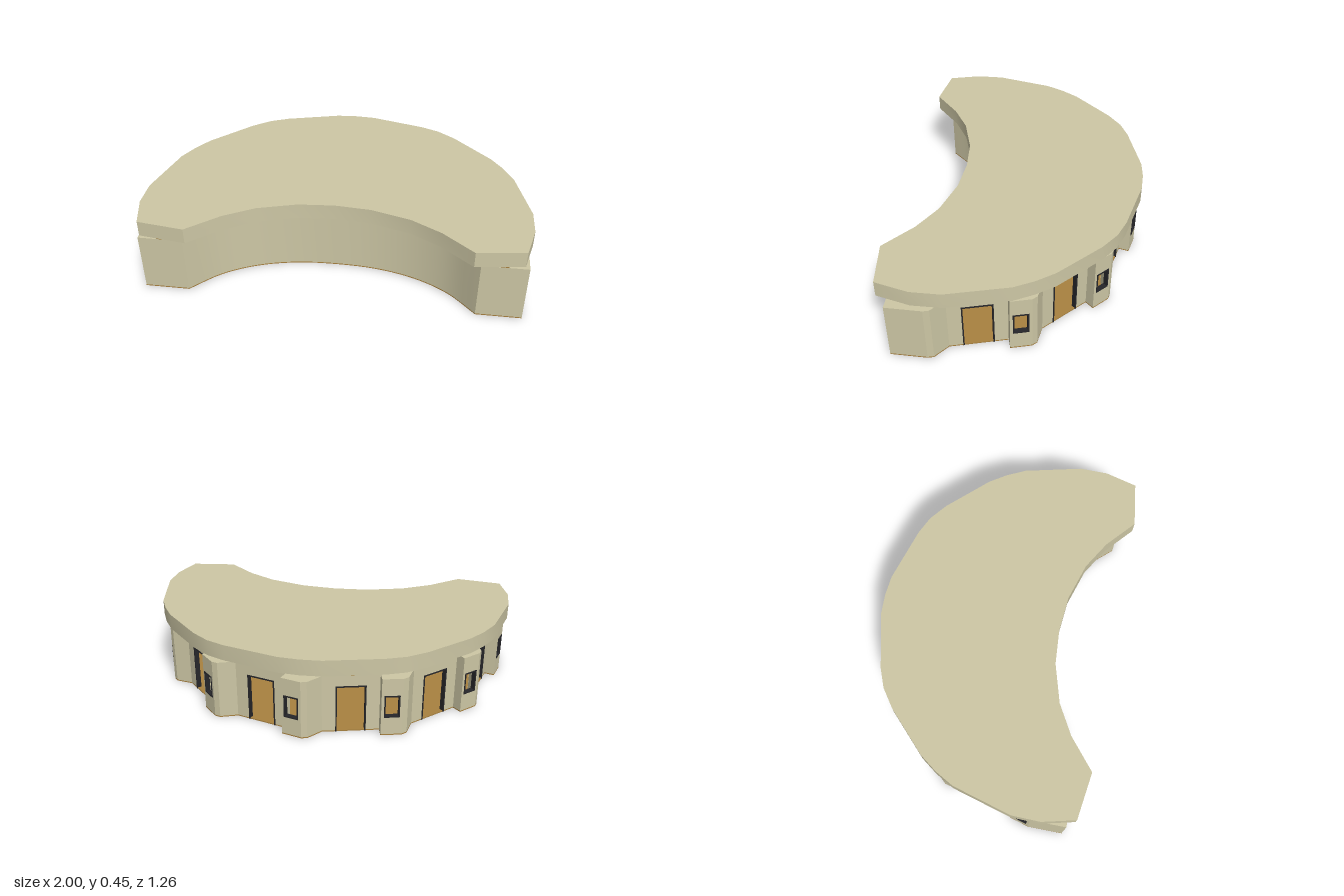
import * as THREE from 'three';
import { toCreasedNormals } from 'three/addons/utils/BufferGeometryUtils.js';

const BEIGE = new THREE.MeshStandardMaterial({ color: 0xcdc7a5 });
const WOOD = new THREE.MeshStandardMaterial({ color: 0xa8813f });
const DARK = new THREE.MeshStandardMaterial({ color: 0x26262a });

const CZ = 0.37;            // z of the arc centre
const WALL = 0.9, BAY = 0.955; // distance of door walls and bay faces from the centre
const FLOOR = 0.006, TOP = 0.31, THICK = 0.02;

// plan point on the bay facing angle deg: a outwards, t along the wall
function plan(deg, a, t) {
  const r = THREE.MathUtils.degToRad(deg), c = Math.cos(r), s = Math.sin(r);
  return [a * c - t * s, CZ - a * s - t * c];
}

const mirrorX = pts => pts.map(([x, z]) => [-x, z]).reverse();

// horizontal slab from a plan outline
function slab(name, pts, y0, y1, mat, crease = 0.4) {
  const shape = new THREE.Shape(pts.map(([x, z]) => new THREE.Vector2(x, -z)));
  let geo = new THREE.ExtrudeGeometry(shape, { depth: y1 - y0, bevelEnabled: false });
  geo.rotateX(-Math.PI / 2);
  geo.translate(0, y0, 0);
  geo = toCreasedNormals(geo, crease);
  const mesh = new THREE.Mesh(geo, mat);
  mesh.name = name;
  return mesh;
}

function box(name, w, h, d, x, y, z, mat) {
  const mesh = new THREE.Mesh(new THREE.BoxGeometry(w, h, d), mat);
  mesh.position.set(x, y, z);
  mesh.name = name;
  return mesh;
}

// upright wall panel from p to q; opening = { w, y0, y1 }, centred
function panel(name, p, q, opening) {
  const group = new THREE.Group();
  group.name = name;
  const dx = q[0] - p[0], dz = q[1] - p[1], len = Math.hypot(dx, dz);
  group.position.set(p[0], 0, p[1]);
  group.rotation.y = Math.atan2(-dz, dx);
  const shape = new THREE.Shape();
  shape.moveTo(0, FLOOR);
  if (opening) {
    const { w, y0, y1 } = opening, a = (len - w) / 2, b = (len + w) / 2;
    if (y0 <= FLOOR) {
      shape.lineTo(a, FLOOR); shape.lineTo(a, y1);
      shape.lineTo(b, y1); shape.lineTo(b, FLOOR);
    } else {
      const hole = new THREE.Path();
      hole.moveTo(a, y0); hole.lineTo(a, y1); hole.lineTo(b, y1); hole.lineTo(b, y0);
      hole.closePath();
      shape.holes.push(hole);
    }
    // dark frame lining the opening
    const f = 0.007, d = THICK + 0.006, h = y1 - y0, m = (y0 + y1) / 2;
    for (const x of [a + f / 2, b - f / 2]) group.add(box('frameJamb', f, h, d, x, m, -THICK / 2, DARK));
    group.add(box('frameHead', w, f, d, len / 2, y1 - f / 2, -THICK / 2, DARK));
    if (y0 > FLOOR) group.add(box('frameSill', w, f, d, len / 2, y0 + f / 2, -THICK / 2, DARK));
  }
  shape.lineTo(len, FLOOR); shape.lineTo(len, TOP); shape.lineTo(0, TOP);
  const geo = new THREE.ExtrudeGeometry(shape, { depth: THICK, bevelEnabled: false });
  geo.translate(0, 0, -THICK);
  const mesh = new THREE.Mesh(geo, BEIGE);
  mesh.name = name + 'Panel';
  group.add(mesh);
  return group;
}

// shell chair on thin legs
function chair() {
  const g = new THREE.Group();
  g.name = 'chair';
  const shell = new THREE.CylinderGeometry(0.042, 0.03, 0.075, 20, 1, true, 0, Math.PI * 1.35);
  const back = new THREE.Mesh(shell, new THREE.MeshStandardMaterial({ color: 0xcdc7a5, side: THREE.DoubleSide }));
  back.position.y = 0.08;
  back.name = 'chairShell';
  const seat = new THREE.Mesh(new THREE.CylinderGeometry(0.034, 0.03, 0.012, 20), BEIGE);
  seat.position.y = 0.05;
  seat.name = 'chairSeat';
  g.add(back, seat);
  for (const x of [-1, 1]) for (const z of [-1, 1])
    g.add(box('chairLeg', 0.005, 0.045, 0.005, x * 0.02, 0.0245, z * 0.02, WOOD));
  return g;
}

// desk with drawers and a screen
function desk() {
  const g = new THREE.Group();
  g.name = 'desk';
  g.add(box('deskTop', 0.09, 0.008, 0.16, 0, 0.085, 0, WOOD));
  for (const z of [-0.07, 0.07]) g.add(box('deskSide', 0.08, 0.076, 0.008, 0, 0.043, z, WOOD));
  g.add(box('drawers', 0.07, 0.06, 0.04, 0, 0.05, -0.045, BEIGE));
  g.add(box('screen', 0.006, 0.045, 0.07, -0.02, 0.117, 0, DARK));
  return g;
}

export function createModel() {
  const model = new THREE.Group();
  model.name = 'crescentBuilding';

  // concave front curve, from -x to +x
  const half = [[0.75, 0.555], [0.62, 0.425], [0.5, 0.35], [0.36, 0.295], [0.19, 0.26]];
  const ctrl = [...half.map(([x, z]) => [-x, z]), [0, 0.25], ...half.slice().reverse()];
  const curve = new THREE.CatmullRomCurve3(ctrl.map(([x, z]) => new THREE.Vector3(x, 0, z)));
  const front = curve.getPoints(36).map(v => [v.x, v.z]);

  // back of the plan: five-cornered bays between six door walls
  const door = { w: 0.156, y0: 0, y1: 0.26 };
  const win = { w: 0.08, y0: 0.103, y1: 0.226 };
  const T = 0.147, corner = BAY * Math.tan(Math.PI / 12), tip = -0.224;
  const outline = [[0.985, 0.555]], kinds = ['endWall'];
  const push = (p, kind) => { outline.push(p); kinds.push(kind); };
  push(plan(15, BAY, -corner), 'bayReturn');
  for (let i = 0; i < 6; i++) {
    const deg = 15 + 30 * i;
    push(plan(deg, BAY, tip), 'baySlant');
    push(plan(deg, WALL, -T), 'doorWall');
    push(plan(deg, WALL, T), 'bayStep');
    push(plan(deg, BAY, T), 'windowWall');
    push(plan(deg, BAY, corner), i < 5 ? 'bayReturn' : 'endWall');
  }
  push([-0.985, 0.555], 'endFace');

  for (let i = 0; i < outline.length; i++) {
    const next = outline[i + 1] || front[0];
    const opening = { doorWall: door, windowWall: win }[kinds[i]];
    model.add(panel(kinds[i], outline[i], next, opening));
  }
  model.add(panel('endFace', front[front.length - 1], outline[0]));

  // curved front wall
  const inner = front.map(([x, z]) => [x * 1.005, z - THICK]).reverse();
  model.add(slab('frontWall', [...front, ...inner], FLOOR, TOP, BEIGE));

  // floor and the ledge over the walls
  const footprint = [...outline, ...front];
  model.add(slab('floor', footprint, 0, FLOOR, WOOD, 0.1));
  model.add(slab('ledge', footprint, TOP, 0.32, BEIGE, 0.1));

  // recessed band below the roof
  const arc = [[0.885, 0.555]];
  for (let d = -6; d <= 186; d += 6) arc.push(plan(d, 0.907, 0));
  arc.push([-0.885, 0.555]);
  model.add(slab('clerestoryBand', [...arc, ...front.map(([x, z]) => [x, z - 0.004])], 0.32, 0.365, WOOD));

  // overhanging flat roof
  const roofHalf = [[0.19, 0.342], [0.395, 0.402], [0.55, 0.49], [0.71, 0.625], [0.955, 0.592],
    [1, 0.42], [1, 0.27], [0.92, -0.04], [0.868, -0.14], [0.805, -0.23], [0.6, -0.435],
    [0.505, -0.505], [0.405, -0.547], [0.11, -0.625]];
  model.add(slab('roof', [[0, 0.327], ...roofHalf, [0, -0.632], ...mirrorX(roofHalf)], 0.365, 0.45, BEIGE));

  // furniture inside
  const table = desk();
  table.position.set(-0.52, FLOOR, 0.06);
  const seat = chair();
  seat.position.set(-0.43, FLOOR, 0.14);
  seat.rotation.y = 0.4;
  model.add(table, seat);
  return model;
}
